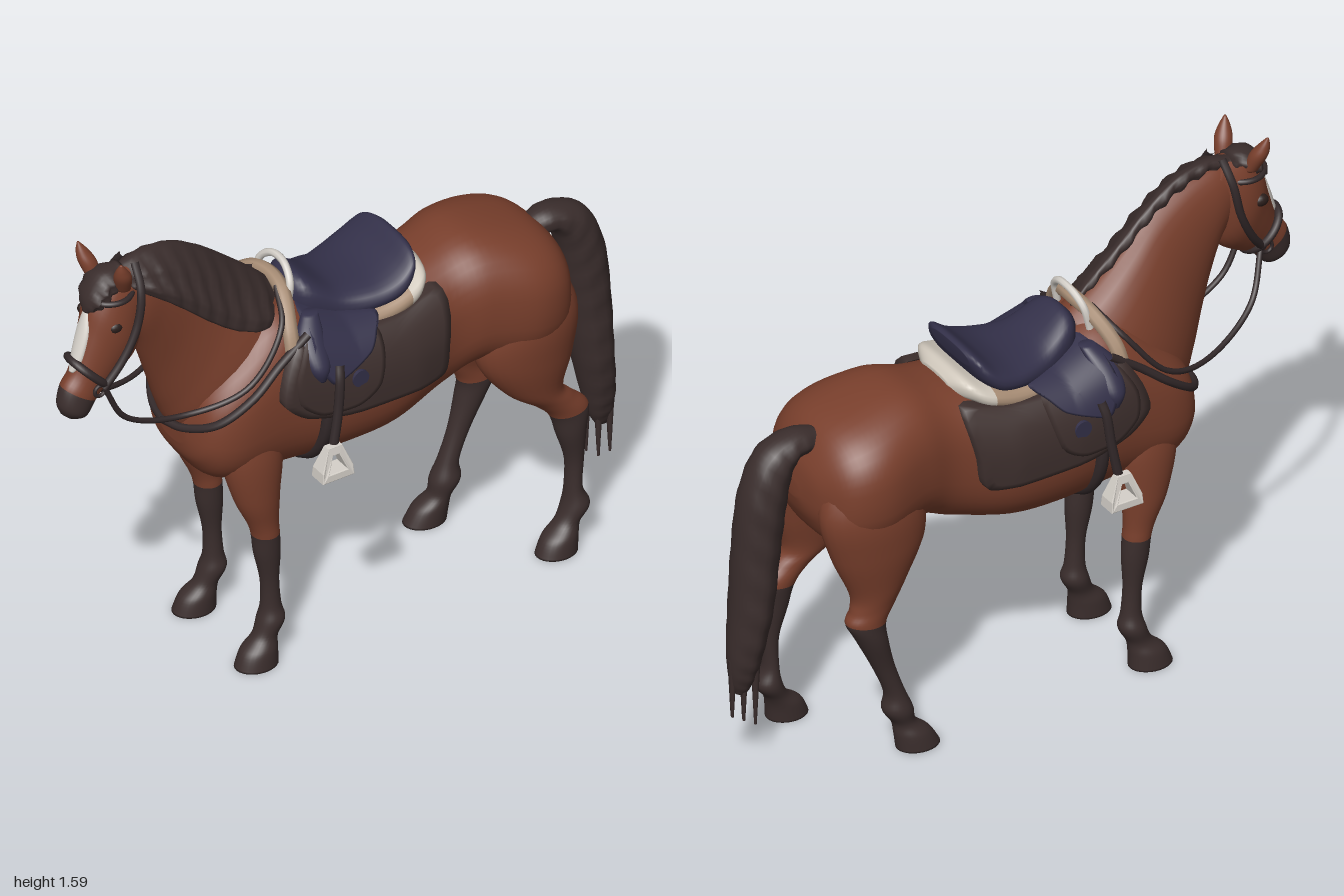
import * as THREE from 'three';

const mat = (name, color, side = THREE.FrontSide) => {
  const m = new THREE.MeshStandardMaterial({ color, side });
  m.name = name;
  return m;
};
const cr = (a, b, c, d, t) =>
  0.5 * (2 * b + (c - a) * t + (2 * a - 5 * b + 4 * c - d) * t * t + (3 * b - a - 3 * c + d) * t * t * t);

// Loft through sections [x1, y1, x2, y2, z, halfWidth, z2]: each ring spans the two profile points.
function loft(sections, { split = 0, pow = 2, ripple = 0, steps = 6, sides = 28 } = {}) {
  const S = sections.map((s) => (s.length < 7 ? [...s, s[4]] : s));
  const n = S.length - 1, rings = n * steps, pos = [], idx = [];
  for (let i = 0; i <= rings; i++) {
    const k = Math.min(Math.floor(i / steps), n - 1), t = i / steps - k;
    const q = S[0].map((_, j) => cr(S[Math.max(k - 1, 0)][j], S[k][j], S[k + 1][j], S[Math.min(k + 2, n)][j], t));
    for (let j = 0; j < sides; j++) {
      const a = (j / sides) * Math.PI * 2, e = 2 / pow;
      const c = Math.sign(Math.cos(a)) * Math.abs(Math.cos(a)) ** e;
      const s = Math.sign(Math.sin(a)) * Math.abs(Math.sin(a)) ** e;
      const w = q[5] * (1 + ripple * Math.sin(i * 1.7 + 2 * c) + ripple * 0.6 * Math.sin(a * 7));
      pos.push((q[0] + q[2]) / 2 + ((q[0] - q[2]) / 2) * c, (q[1] + q[3]) / 2 + ((q[1] - q[3]) / 2) * c,
        (q[4] + q[6]) / 2 + ((q[4] - q[6]) / 2) * c + w * s);
    }
  }
  const first = S[0], last = S[n], c0 = pos.length / 3;
  for (const s of [first, last]) pos.push((s[0] + s[2]) / 2, (s[1] + s[3]) / 2, (s[4] + s[6]) / 2);
  for (let j = 0; j < sides; j++) idx.push(c0, (j + 1) % sides, j);
  for (let i = 0; i < rings; i++)
    for (let j = 0; j < sides; j++) {
      const a = i * sides + j, b = i * sides + ((j + 1) % sides);
      idx.push(a, b, a + sides, b, b + sides, a + sides);
    }
  for (let j = 0; j < sides; j++) idx.push(c0 + 1, rings * sides + j, rings * sides + ((j + 1) % sides));
  // turn the faces outwards
  let vol = 0;
  const v = (i) => new THREE.Vector3().fromArray(pos, i * 3);
  for (let i = 0; i < idx.length; i += 3) vol += v(idx[i]).dot(v(idx[i + 1]).cross(v(idx[i + 2])));
  if (vol < 0) for (let i = 0; i < idx.length; i += 3) [idx[i], idx[i + 1]] = [idx[i + 1], idx[i]];
  const g = new THREE.BufferGeometry();
  g.setAttribute('position', new THREE.Float32BufferAttribute(pos, 3));
  g.setIndex(idx);
  if (split) {
    const cut = (sides + split * steps * sides * 2) * 3;
    g.addGroup(0, cut, 0);
    g.addGroup(cut, idx.length - cut, 1);
  }
  g.computeVertexNormals();
  return g;
}

const tube = (pts, r, closed = false) => new THREE.TubeGeometry(
  new THREE.CatmullRomCurve3(pts.map((p) => new THREE.Vector3(...p)), closed), 48, r, 8, closed);

// Closed strap around an elliptical section
function strap([x1, y1, x2, y2, z, w], r) {
  const pts = [];
  for (let i = 0; i < 20; i++) {
    const a = (i / 20) * Math.PI * 2, c = Math.cos(a) / 2;
    pts.push([(x1 + x2) / 2 + (x1 - x2) * c, (y1 + y2) / 2 + (y1 - y2) * c, z + w * Math.sin(a)]);
  }
  return tube(pts, r, true);
}

const BODY = [
  [-0.55, 0.9, -0.55, 0.79, 0, 0.07], [-0.5, 1.0, -0.53, 0.73, 0, 0.165], [-0.4, 1.1, -0.45, 0.65, 0, 0.212],
  [-0.25, 1.2, -0.25, 0.63, 0, 0.22], [-0.05, 1.13, -0.05, 0.625, 0, 0.235], [0.15, 1.12, 0.12, 0.64, 0, 0.235],
  [0.32, 1.15, 0.3, 0.69, 0, 0.2], [0.45, 1.178, 0.42, 0.74, 0, 0.222], [0.6, 1.15, 0.58, 0.72, 0, 0.256],
  [0.7, 1.105, 0.7, 0.74, 0, 0.222], [0.76, 1.02, 0.755, 0.82, 0, 0.13], [0.778, 0.94, 0.778, 0.89, 0, 0.03]];

// Half-width of the barrel at a point of its side
function bodyZ(x, y) {
  let k = 0;
  while (k < BODY.length - 2 && BODY[k + 1][0] < x) k++;
  const t = (x - BODY[k][0]) / (BODY[k + 1][0] - BODY[k][0]);
  const [top, bot, w] = [1, 3, 5].map((j) => THREE.MathUtils.lerp(BODY[k][j], BODY[k + 1][j], t));
  const d = Math.min(1, Math.abs((y - (top + bot) / 2) / ((top - bot) / 2)));
  return w * (1 - d ** 2.5) ** 0.4;
}

// Padded panel draped on the barrel, with its edge tucked in
function panel(outline, lift, side) {
  const N = 48, R = 12, pos = [], idx = [];
  const rim = new THREE.CatmullRomCurve3(outline.map(([x, y]) => new THREE.Vector3(x, y, 0)), true, 'catmullrom', 0.35).getPoints(N);
  const c = rim.slice(0, N).reduce((s, p) => s.add(p), new THREE.Vector3()).divideScalar(N);
  for (let i = 0; i <= R; i++)
    for (let j = 0; j < N; j++) {
      const f = i === R ? 1 : (i / (R - 1)) * 0.995;
      const x = c.x + (rim[j].x - c.x) * f, y = c.y + (rim[j].y - c.y) * f;
      pos.push(x, y, side * (bodyZ(x, y) + (i === R ? 0 : lift)));
    }
  for (let i = 0; i < R; i++)
    for (let j = 0; j < N; j++) {
      const a = i * N + j, b = i * N + ((j + 1) % N);
      idx.push(a, b, a + N, b, b + N, a + N);
    }
  const g = new THREE.BufferGeometry();
  g.setAttribute('position', new THREE.Float32BufferAttribute(pos, 3));
  g.setIndex(idx);
  g.computeVertexNormals();
  return g;
}

// Stirrup iron, deep at the tread and narrow at the eye
function stirrupIron() {
  const path = (pts) => pts.map((p) => new THREE.Vector2(...p));
  const iron = new THREE.Shape(path([[-0.052, 0], [0.052, 0], [0.05, 0.03], [0.022, 0.1], [-0.022, 0.1], [-0.05, 0.03]]));
  iron.holes.push(new THREE.Path(path([[-0.036, 0.02], [-0.013, 0.08], [0.013, 0.08], [0.036, 0.02]])));
  const g = new THREE.ExtrudeGeometry(iron, { depth: 0.066, bevelSize: 0.003, bevelThickness: 0.003, bevelSegments: 2 });
  g.translate(0, 0, -0.033);
  const p = g.attributes.position;
  for (let i = 0; i < p.count; i++) p.setZ(i, p.getZ(i) * (1 - 6.5 * THREE.MathUtils.clamp(p.getY(i), 0.015, 0.1)));
  g.computeVertexNormals();
  return g;
}

export function createModel() {
  const group = new THREE.Group();
  const coat = mat('bay coat', 0x793f2c), hair = mat('dark hair', 0x3a2d2c);
  const leather = mat('dark leather', 0x33292a), pad = mat('pad brown', 0x3d2f2d, THREE.DoubleSide);
  const navy = mat('navy saddle', 0x333049, THREE.DoubleSide), fleece = mat('fleece', 0xd0c8bc);
  const beige = mat('beige lining', 0xa98e76), white = mat('white', 0xd6d1ca), eyeDark = mat('eye', 0x2b1e1b);
  const add = (name, geo, m) => {
    const mesh = new THREE.Mesh(geo, m);
    mesh.name = name;
    group.add(mesh);
    return mesh;
  };

  // Body and neck
  add('body', loft(BODY, { pow: 2.5, sides: 40 }), coat);
  add('neck', loft([[-0.16, 1.19, -0.44, 0.72, 0, 0.16], [-0.26, 1.26, -0.555, 0.84, 0, 0.142],
    [-0.36, 1.34, -0.6, 0.93, 0.005, 0.113], [-0.46, 1.425, -0.64, 1.04, 0.018, 0.09], [-0.58, 1.485, -0.68, 1.15, 0.033, 0.079],
    [-0.69, 1.51, -0.715, 1.24, 0.045, 0.074], [-0.77, 1.505, -0.76, 1.3, 0.05, 0.06]]), coat);

  // Head with dark muzzle, turned slightly to one side
  add('head', loft([[-0.73, 1.515, -0.67, 1.41, 0.045, 0.05], [-0.82, 1.51, -0.7, 1.28, 0.048, 0.075],
    [-0.875, 1.44, -0.73, 1.215, 0.055, 0.083], [-0.905, 1.35, -0.79, 1.17, 0.065, 0.07],
    [-0.947, 1.235, -0.85, 1.135, 0.078, 0.052], [-0.985, 1.185, -0.875, 1.115, 0.084, 0.05],
    [-1.0, 1.13, -0.91, 1.072, 0.088, 0.045], [-0.99, 1.095, -0.95, 1.068, 0.088, 0.02]], { split: 5 }), [coat, hair]);
  add('blaze', loft([[-0.89, 1.415, -0.87, 1.405, 0.058, 0.012], [-0.914, 1.35, -0.885, 1.34, 0.066, 0.028],
    [-0.945, 1.265, -0.915, 1.255, 0.076, 0.024], [-0.957, 1.23, -0.94, 1.225, 0.08, 0.01]]), white);
  add('forelock', loft([[-0.76, 1.53, -0.76, 1.46, 0.045, 0.035], [-0.84, 1.52, -0.805, 1.45, 0.05, 0.06],
    [-0.888, 1.46, -0.845, 1.425, 0.055, 0.055], [-0.895, 1.41, -0.87, 1.405, 0.06, 0.015]], { ripple: 0.12 }), hair);
  for (const s of [1, -1]) {
    const dx = s * 0.02;
    add('ear', loft([[-0.82 + dx, 1.47, -0.775 + dx, 1.47, 0.05 + s * 0.045, 0.022],
      [-0.84 + dx, 1.525, -0.785 + dx, 1.525, 0.05 + s * 0.065, 0.028],
      [-0.842 + dx, 1.56, -0.805 + dx, 1.56, 0.05 + s * 0.077, 0.018],
      [-0.835 + dx, 1.588, -0.828 + dx, 1.588, 0.05 + s * 0.085, 0.004]]), coat);
    const eye = add('eye', new THREE.SphereGeometry(0.025, 16, 12), eyeDark);
    eye.position.set(-0.832 + dx * 0.5, 1.362, 0.054 + s * 0.067);
    eye.scale.set(1, 0.8, 0.7);
  }

  // Mane falling to one side
  add('mane', loft([[-0.77, 1.515, -0.75, 1.45, 0.04, 0.035, 0.08], [-0.68, 1.533, -0.66, 1.4, 0.03, 0.046, 0.122],
    [-0.57, 1.515, -0.58, 1.335, 0.02, 0.046, 0.132], [-0.46, 1.452, -0.5, 1.265, 0.01, 0.046, 0.136],
    [-0.35, 1.362, -0.41, 1.2, 0, 0.044, 0.136], [-0.25, 1.275, -0.31, 1.16, 0, 0.04, 0.13],
    [-0.19, 1.21, -0.22, 1.15, 0, 0.02, 0.07]], { ripple: 0.17 }), hair);

  // Tail with loose strands
  add('tail', loft([[0.7, 1.1, 0.7, 1.01, 0, 0.045], [0.78, 1.112, 0.765, 1.03, 0, 0.058], [0.89, 1.07, 0.795, 0.98, 0, 0.07],
    [0.952, 0.94, 0.815, 0.87, 0, 0.078], [0.975, 0.75, 0.835, 0.73, 0, 0.08], [0.985, 0.55, 0.858, 0.55, 0, 0.08],
    [0.995, 0.4, 0.888, 0.4, 0, 0.062], [0.99, 0.31, 0.91, 0.31, 0, 0.04], [0.975, 0.26, 0.935, 0.26, 0, 0.018]],
    { ripple: 0.04 }), hair);
  for (let i = 0; i < 5; i++)
    add('tailStrand', new THREE.CylinderGeometry(0.014, 0.004, 0.2, 8), hair)
      .position.set(0.922 + 0.062 * ((i * 2) % 5) / 4, 0.25 + 0.015 * (i % 3), (i - 2) * 0.014);

  // Front legs
  const FRONT = [[-0.44, 0.9, -0.29, 0.9, 0.12, 0.05], [-0.46, 0.75, -0.26, 0.75, 0.14, 0.07], [-0.425, 0.6, -0.275, 0.6, 0.152, 0.06],
    [-0.38, 0.5, -0.28, 0.5, 0.155, 0.046], [-0.364, 0.45, -0.277, 0.45, 0.155, 0.044], [-0.356, 0.38, -0.273, 0.38, 0.155, 0.04],
    [-0.335, 0.28, -0.277, 0.28, 0.155, 0.03], [-0.333, 0.19, -0.27, 0.19, 0.155, 0.032], [-0.345, 0.14, -0.26, 0.14, 0.157, 0.044],
    [-0.365, 0.09, -0.285, 0.09, 0.16, 0.038], [-0.408, 0.05, -0.29, 0.05, 0.165, 0.05], [-0.43, 0, -0.29, 0, 0.168, 0.056]];
  for (const s of [1, -1])
    add('frontLeg', loft(FRONT.map((p) => [...p.slice(0, 4), s * p[4], p[5]]), { split: 4 }), [coat, hair]);

  // Hind legs: one standing back, one stepping forward
  const hindZ = [0.12, 0.14, 0.148, 0.152, 0.155, 0.155, 0.158, 0.157, 0.157, 0.158, 0.16, 0.168, 0.172];
  const hindW = [0.055, 0.1, 0.093, 0.068, 0.053, 0.051, 0.047, 0.033, 0.034, 0.047, 0.04, 0.05, 0.055];
  const hind = (side, rows) => add('hindLeg', loft(rows.map((r, i) => [...r, side * hindZ[i], hindW[i]]), { split: 5 }), [coat, hair]);
  hind(1, [[0.52, 1.05, 0.7, 1.05], [0.43, 0.88, 0.77, 0.88], [0.43, 0.75, 0.75, 0.72], [0.52, 0.62, 0.715, 0.6],
    [0.62, 0.54, 0.75, 0.55], [0.675, 0.48, 0.803, 0.495], [0.7, 0.4, 0.795, 0.42], [0.73, 0.3, 0.787, 0.3], [0.73, 0.2, 0.782, 0.2],
    [0.72, 0.14, 0.805, 0.14], [0.695, 0.09, 0.772, 0.09], [0.645, 0.05, 0.76, 0.05], [0.62, 0, 0.755, 0]]);
  hind(-1, [[0.52, 1.05, 0.7, 1.05], [0.43, 0.88, 0.765, 0.88], [0.42, 0.75, 0.73, 0.72], [0.48, 0.62, 0.67, 0.58],
    [0.52, 0.54, 0.67, 0.52], [0.555, 0.47, 0.685, 0.48], [0.55, 0.4, 0.655, 0.42], [0.525, 0.3, 0.595, 0.3], [0.49, 0.2, 0.555, 0.2],
    [0.465, 0.14, 0.56, 0.14], [0.455, 0.09, 0.53, 0.09], [0.41, 0.05, 0.525, 0.05], [0.38, 0, 0.52, 0]]);

  // Saddle seat, fleece and front arch
  add('saddleSeat', loft([[-0.17, 1.215, -0.17, 1.12, 0, 0.06], [-0.13, 1.24, -0.13, 1.08, 0, 0.105], [-0.03, 1.18, -0.03, 1.06, 0, 0.135],
    [0.07, 1.17, 0.07, 1.08, 0, 0.165], [0.15, 1.195, 0.15, 1.1, 0, 0.175], [0.21, 1.24, 0.2, 1.14, 0, 0.155],
    [0.232, 1.238, 0.225, 1.19, 0, 0.1]], { pow: 2.6 }), navy);
  add('fleecePad', loft([[-0.2, 1.14, -0.2, 1.02, 0, 0.15], [0.05, 1.125, 0.05, 1.03, 0, 0.185], [0.18, 1.148, 0.18, 1.06, 0, 0.185],
    [0.25, 1.172, 0.24, 1.09, 0, 0.15], [0.284, 1.15, 0.278, 1.1, 0, 0.07]], { pow: 2.6, split: 2 }), [beige, fleece]);
  add('liningArch', tube([[-0.25, 1.07, 0.2], [-0.24, 1.15, 0.165], [-0.21, 1.225, 0.08], [-0.2, 1.24, 0], [-0.21, 1.225, -0.08],
    [-0.24, 1.15, -0.165], [-0.25, 1.07, -0.2]], 0.024), beige);
  add('handle', tube([[-0.2, 1.18, 0.09], [-0.185, 1.25, 0.08], [-0.175, 1.285, 0.04], [-0.172, 1.293, 0], [-0.175, 1.285, -0.04],
    [-0.185, 1.25, -0.08], [-0.2, 1.18, -0.09]], 0.012), white);
  add('girth', strap([-0.15, 1.1, -0.155, 0.618, 0, 0.236], 0.02), leather);

  for (const s of [1, -1]) {
    add('saddlePad', panel([[-0.23, 1.13], [-0.29, 1.04], [-0.31, 0.95], [-0.24, 0.885], [-0.1, 0.85], [0.12, 0.845], [0.25, 0.855],
      [0.27, 0.95], [0.288, 1.105], [0.15, 1.085], [0, 1.085], [-0.12, 1.12]], 0.036, s), pad);
    add('saddleFlap', panel([[-0.2, 1.13], [-0.265, 1.03], [-0.26, 0.94], [-0.19, 0.885], [-0.07, 0.88], [0.01, 0.93], [0.04, 1.08], [-0.08, 1.11]], 0.045, s), pad);
    add('saddleSkirt', panel([[-0.17, 1.17], [-0.2, 1.08], [-0.16, 0.99], [-0.08, 1.01], [-0.01, 1.04], [0.03, 1.08], [0.06, 1.11], [-0.04, 1.125]], 0.057, s), navy);
    const button = add('flapButton', new THREE.CylinderGeometry(0.028, 0.028, 0.02, 24), navy);
    button.rotation.x = Math.PI / 2;
    button.position.set(-0.062, 0.972, s * (bodyZ(-0.062, 0.972) + 0.039));
    add('kneeRoll', loft([[-0.18, 1.17, -0.13, 1.17, s * 0.14, 0.02], [-0.225, 1.12, -0.14, 1.12, s * 0.185, 0.035],
      [-0.225, 1.05, -0.15, 1.05, s * 0.235, 0.037], [-0.2, 1.0, -0.17, 1.0, s * 0.25, 0.015]]), navy);
    add('stirrupLeather', tube([[-0.13, 1.04, s * 0.262], [-0.138, 1.0, s * 0.278], [-0.15, 0.9, s * 0.287], [-0.172, 0.78, s * 0.293]], 0.015), leather);
    add('stirrup', stirrupIron(), white).position.set(-0.178, 0.692, s * 0.302);
    add('breastStrap', tube([[-0.2, 1.14, s * 0.2], [-0.3, 1.07, s * 0.205], [-0.4, 0.99, s * 0.212], [-0.5, 0.915, s * 0.175], [-0.56, 0.875, s * 0.085], [-0.58, 0.865, 0]], 0.013), leather);
    add('cheekStrap', tube([[-0.725, 1.53, 0.045 + s * 0.03], [-0.735, 1.46, 0.048 + s * 0.078], [-0.76, 1.35, 0.054 + s * 0.088],
      [-0.81, 1.25, 0.064 + s * 0.077], [-0.87, 1.17, 0.078 + s * 0.056]], 0.013), leather);
    const rz = s > 0 ? [0.135, 0.13, 0.13, 0.19, 0.165, 0.06] : [0.03, -0.04, -0.125, -0.195, -0.165, -0.06];
    add('rein', tube([[-0.87, 1.17], [-0.79, 1.03], [-0.59, 0.958], [-0.4, 1.02], [-0.27, 1.17], [-0.22, 1.24]].map((p, i) => [...p, rz[i]]), 0.009), leather);
    const bit = add('bitRing', new THREE.TorusGeometry(0.018, 0.006, 8, 16), leather);
    bit.position.set(-0.885, 1.165, 0.078 + s * 0.056);
  }

  // Bridle
  add('noseband', strap([-0.945, 1.262, -0.835, 1.15, 0.074, 0.064], 0.013), leather);
  add('browband', strap([-0.88, 1.45, -0.735, 1.45, 0.052, 0.078], 0.009), leather);

  return group;
}
